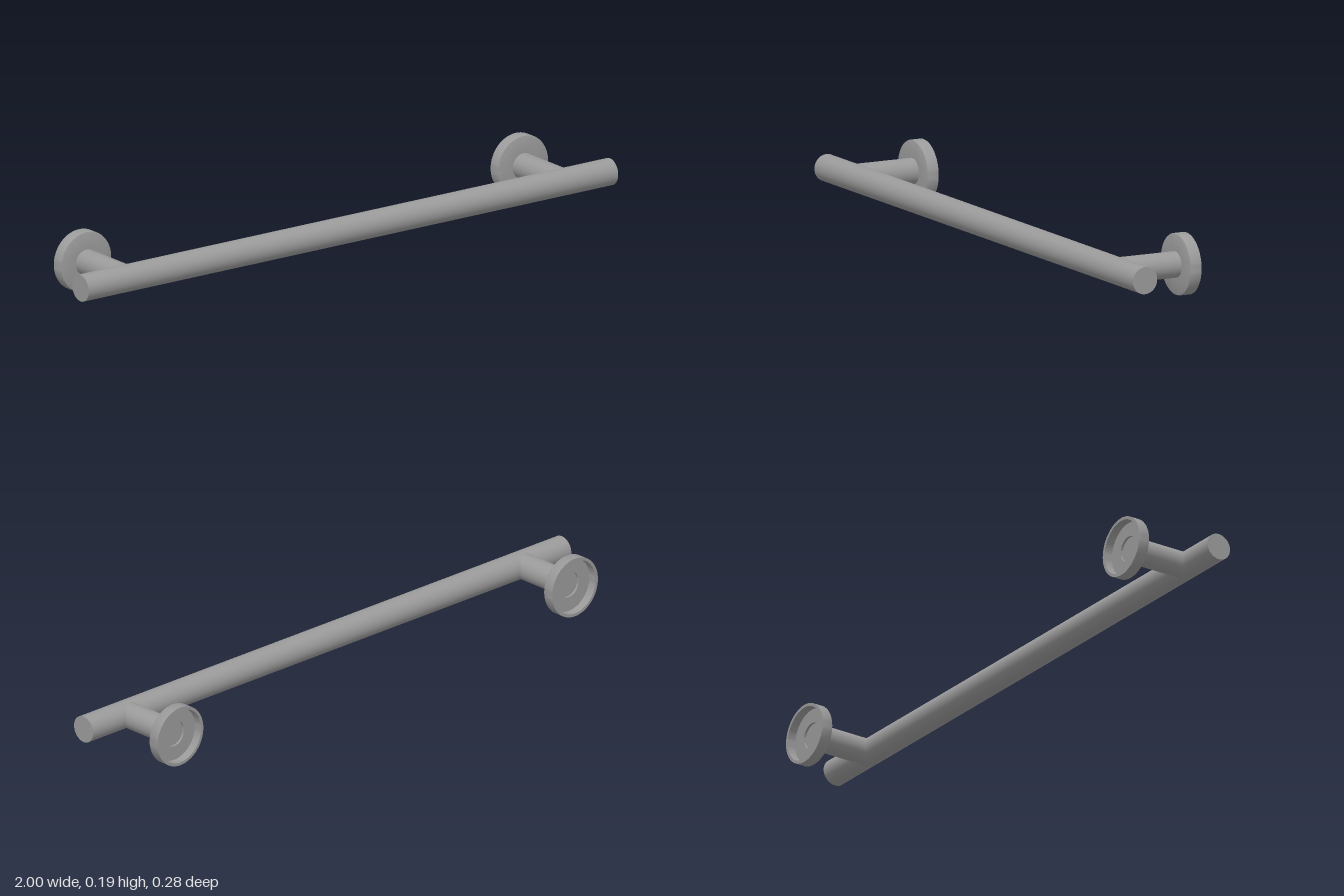
import * as THREE from 'three';
import { toCreasedNormals } from 'three/addons/utils/BufferGeometryUtils.js';

const AXIS_Y = 0.0955; // height shared by the bar, posts and flanges

export function createModel() {
  const group = new THREE.Group();
  const material = new THREE.MeshStandardMaterial({ color: 0x9a9a9a });
  const add = (name, geometry, x, z) => {
    const mesh = new THREE.Mesh(geometry, material);
    mesh.name = name;
    mesh.position.set(x, AXIS_Y, z);
    group.add(mesh);
  };

  // Long horizontal bar
  add('bar', new THREE.CylinderGeometry(0.042, 0.042, 2, 64).rotateZ(Math.PI / 2), 0, 0.0995);

  // Post running from inside the wall flange to the bar's axis
  const postBack = -0.107, postFront = 0.0995;
  const post = new THREE.CylinderGeometry(0.0405, 0.0405, postFront - postBack, 64).rotateX(Math.PI / 2);

  // Wall flange: rounded front edge, hollow back and a hole for the post
  const profile = [
    [0.086, -0.1415], [0.0955, -0.1415], [0.0955, -0.1075], [0.0942, -0.1045], [0.0905, -0.103],
    [0.0405, -0.103], [0.0405, -0.114], [0.086, -0.114], [0.086, -0.1415],
  ].map(([r, z]) => new THREE.Vector2(r, z));
  const flange = toCreasedNormals(new THREE.LatheGeometry(profile, 64).rotateX(Math.PI / 2), 0.6);

  for (const [side, x] of [['left', 0.823], ['right', -0.827]]) {
    add(side + 'Post', post, x, (postBack + postFront) / 2);
    add(side + 'Flange', flange, x, 0);
  }
  return group;
}
